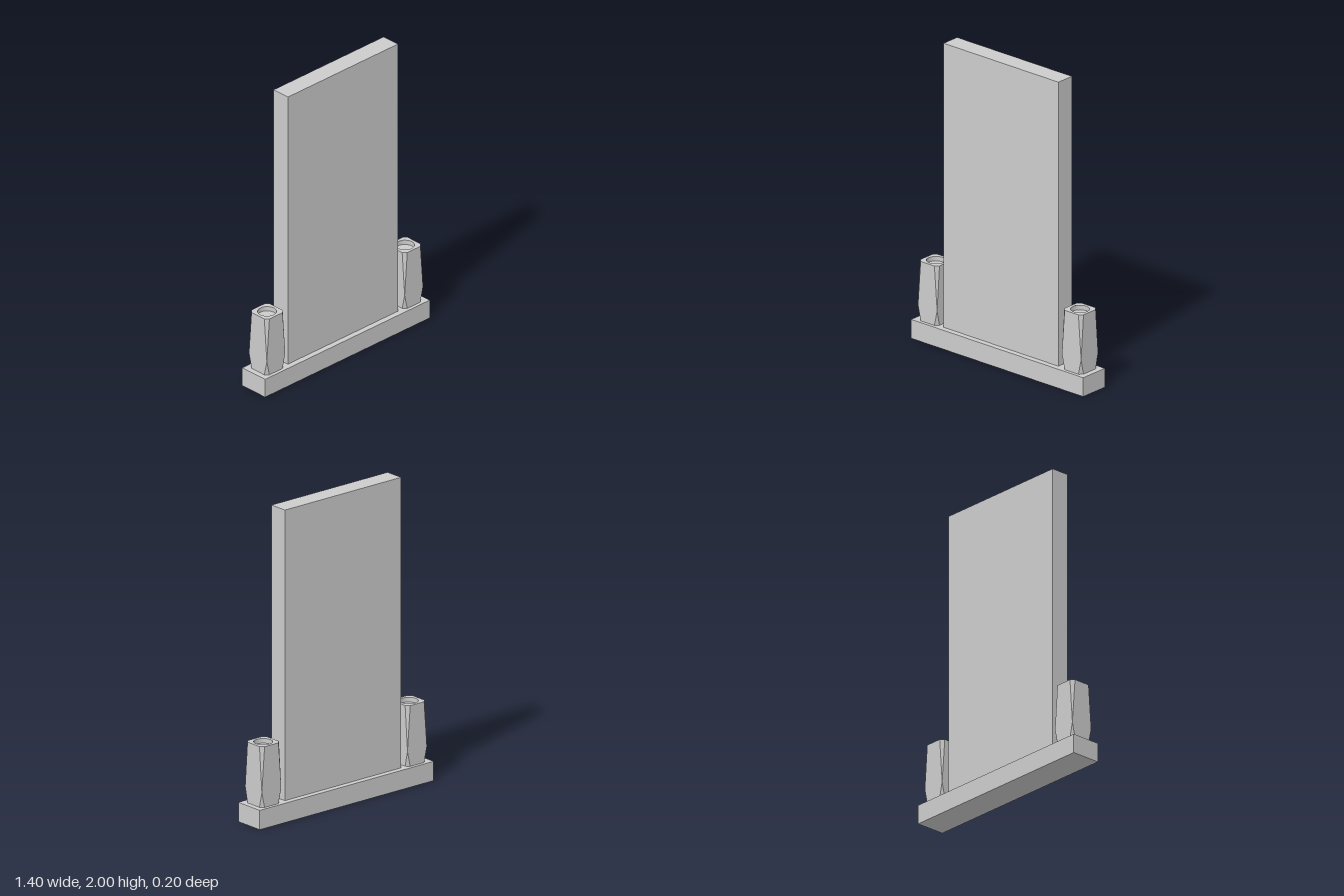
import * as THREE from 'three';

const BASE_H = 0.125, HALF = 0.078, CHAMFER = 0.022, BORE_R = 0.058, BORE_DEPTH = 0.03;

// Square outline with cut corners, counter-clockwise
function cutSquare(c) {
  const h = HALF, k = h - c;
  return [[h, -k], [h, k], [k, h], [-k, h], [-h, k], [-h, -k], [-k, -h], [k, -h]];
}

// Vase walls: cut corners at foot and rim that close to a sharp corner at the shoulder
function vaseWalls(height, shoulder) {
  const rings = [[0, CHAMFER], [shoulder, 0], [height, CHAMFER]]
    .map(([y, c]) => cutSquare(c).map(([x, s]) => [x, y, -s]));
  const pos = [];
  for (let r = 0; r < 2; r++) {
    for (let i = 0; i < 8; i++) {
      const j = (i + 1) % 8, lo = rings[r], hi = rings[r + 1];
      const corner = i % 2 === 1; // corner facets are single triangles
      if (!corner || r === 0) pos.push(...lo[i], ...lo[j], ...hi[j]);
      if (!corner || r === 1) pos.push(...lo[i], ...hi[j], ...hi[i]);
    }
  }
  const geo = new THREE.BufferGeometry();
  geo.setAttribute('position', new THREE.Float32BufferAttribute(pos, 3));
  geo.computeVertexNormals();
  return geo;
}

export function createModel() {
  const model = new THREE.Group();
  const stone = new THREE.MeshStandardMaterial({ color: 0xcccccc, flatShading: true });
  const smooth = new THREE.MeshStandardMaterial({ color: 0xcccccc, side: THREE.BackSide });

  const add = (parent, name, geo, x, y, z, mat = stone) => {
    const mesh = new THREE.Mesh(geo, mat);
    mesh.name = name;
    mesh.position.set(x, y, z);
    parent.add(mesh);
    return mesh;
  };

  // Plinth and upright slab
  add(model, 'base', new THREE.BoxGeometry(1.4, BASE_H, 0.2), 0, BASE_H / 2, 0);
  add(model, 'slab', new THREE.BoxGeometry(0.935, 2 - BASE_H, 0.125), -0.002, (2 + BASE_H) / 2, 0);

  // Vase parts, shared by both sides
  const height = 0.392;
  const walls = vaseWalls(height, 0.1);
  const rimShape = new THREE.Shape(cutSquare(CHAMFER).map(([x, y]) => new THREE.Vector2(x, y)));
  rimShape.holes.push(new THREE.Path().absarc(0, 0, BORE_R, 0, Math.PI * 2, true));
  const rim = new THREE.ShapeGeometry(rimShape, 32).rotateX(-Math.PI / 2);
  const bore = new THREE.CylinderGeometry(BORE_R, BORE_R, BORE_DEPTH, 32, 1, true);
  const floor = new THREE.CircleGeometry(BORE_R, 32).rotateX(-Math.PI / 2);
  const foot = new THREE.ShapeGeometry(new THREE.Shape(rimShape.getPoints())).rotateX(Math.PI / 2);

  for (const side of [-1, 1]) {
    const vase = new THREE.Group();
    vase.name = side > 0 ? 'leftVase' : 'rightVase';
    vase.position.set(side * 0.586, BASE_H, 0);
    add(vase, 'vaseWalls', walls, 0, 0, 0);
    add(vase, 'vaseRim', rim, 0, height, 0);
    add(vase, 'vaseBore', bore, 0, height - BORE_DEPTH / 2, 0, smooth);
    add(vase, 'vaseFloor', floor, 0, height - BORE_DEPTH, 0);
    add(vase, 'vaseFoot', foot, 0, 0, 0);
    model.add(vase);
  }
  return model;
}
